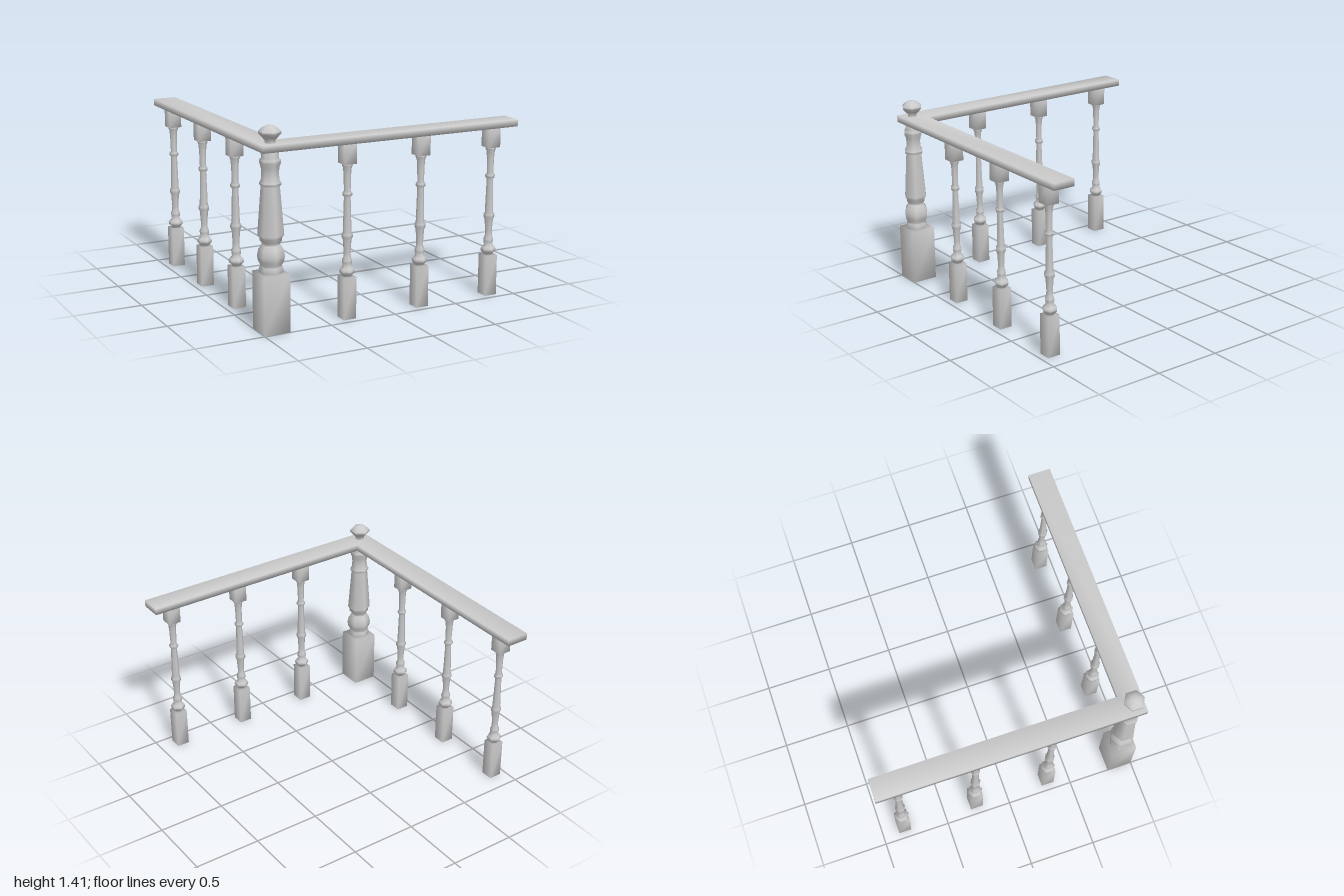
import * as THREE from 'three';
import { mergeVertices } from 'three/addons/utils/BufferGeometryUtils.js';

const grey = new THREE.MeshStandardMaterial({ color: 0xcccccc });
const POST = 0.905; // distance of both rail centre lines from the origin

// Weld corners so shading runs smoothly around the edges
function soften(geometry) {
  geometry.deleteAttribute('normal');
  geometry.deleteAttribute('uv');
  const welded = mergeVertices(geometry, 1e-4);
  welded.computeVertexNormals();
  return welded;
}

function part(name, geometry, parent) {
  const mesh = new THREE.Mesh(geometry, grey);
  mesh.name = name;
  parent.add(mesh);
  return mesh;
}

// Square block between two heights
function block(name, width, y0, y1, parent) {
  const geometry = new THREE.BoxGeometry(width, y1 - y0, width);
  part(name, soften(geometry), parent).position.y = (y0 + y1) / 2;
}

// Six-sided turning from [radius, height] pairs
function turning(name, profile, parent) {
  const points = profile.map(([r, y]) => new THREE.Vector2(r, y));
  part(name, new THREE.LatheGeometry(points, 6), parent);
}

const newelProfile = [
  [0.078, 0.40], [0.085, 0.43], [0.076, 0.45], [0.074, 0.465], [0.088, 0.49], [0.094, 0.525],
  [0.085, 0.57], [0.065, 0.60], [0.06, 0.615], [0.076, 0.63], [0.076, 0.65],
  [0.09, 0.67], [0.064, 1.00], [0.074, 1.015], [0.074, 1.025], [0.062, 1.045],
  [0.058, 1.09], [0.062, 1.13], [0.073, 1.16], [0.073, 1.18], [0.06, 1.19],
  [0.06, 1.26], [0.036, 1.285], [0.036, 1.31], [0.055, 1.33], [0.077, 1.355],
  [0.077, 1.37], [0.05, 1.395], [0.025, 1.408], [0, 1.41],
];

const balusterProfile = [
  [0.03, 0.295], [0.035, 0.31], [0.052, 0.325], [0.055, 0.34], [0.048, 0.355], [0.03, 0.375],
  [0.034, 0.40], [0.036, 0.415], [0.026, 0.435], [0.024, 0.47], [0.03, 0.56],
  [0.039, 0.58], [0.039, 0.60], [0.03, 0.615], [0.023, 0.86], [0.034, 0.875],
  [0.034, 0.89], [0.023, 0.905], [0.026, 1.02], [0.03, 1.065], [0.037, 1.08],
  [0.037, 1.09], [0.03, 1.105],
];

function baluster(x, z) {
  const group = new THREE.Group();
  group.name = 'baluster';
  block('balusterBase', 0.095, 0, 0.3, group);
  turning('balusterTurning', balusterProfile, group);
  block('balusterTopBlock', 0.095, 1.095, 1.245, group);
  group.position.set(x, 0, z);
  return group;
}

export function createModel() {
  const model = new THREE.Group();
  model.name = 'cornerBalustrade';

  // Corner newel post with finial
  const newel = new THREE.Group();
  newel.name = 'newelPost';
  block('newelBase', 0.19, 0, 0.41, newel);
  turning('newelTurning', newelProfile, newel);
  newel.position.set(-POST, 0, POST);
  model.add(newel);

  // L-shaped handrail, drawn in plan (shape y = -z) and laid flat
  const plan = new THREE.Shape([
    [-0.99, -0.985], [1, -0.985], [1, -0.82], [-0.82, -0.82], [-0.82, 1], [-0.99, 1],
  ].map(([x, y]) => new THREE.Vector2(x, y)));
  const rail = new THREE.ExtrudeGeometry(plan, { depth: 0.05, bevelEnabled: false });
  rail.rotateX(-Math.PI / 2);
  part('handrail', soften(rail), model).position.y = 1.24;

  // Three balusters under each arm
  for (const d of [-0.33, 0.25, 0.83]) {
    model.add(baluster(d, POST));
    model.add(baluster(-POST, -d));
  }
  return model;
}
